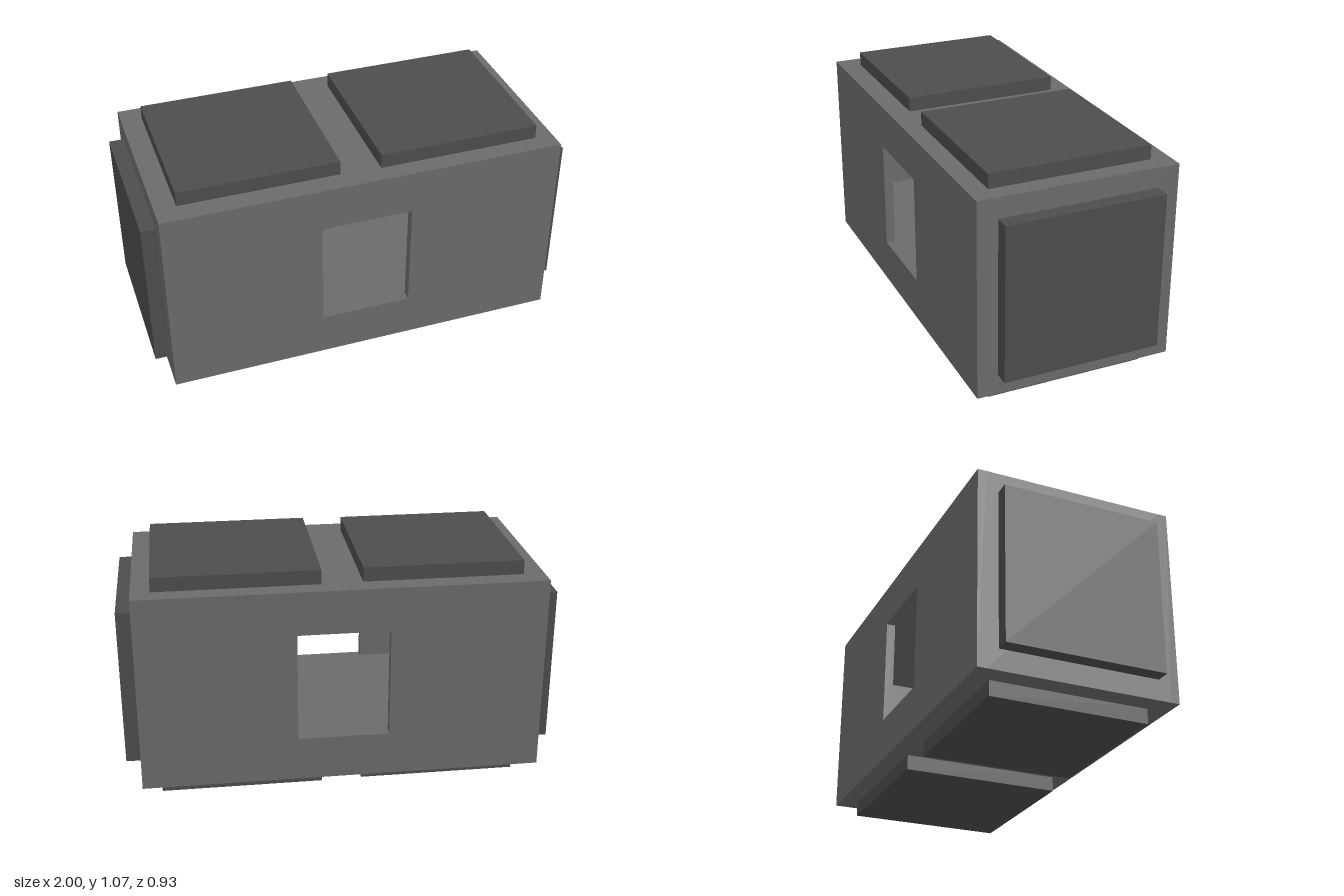
import * as THREE from 'three';

const bodyMaterial = new THREE.MeshStandardMaterial({ color: 0x6b6b6b });
const padMaterial = new THREE.MeshStandardMaterial({ color: 0x4d4d4d });

// Rectangle path from its bounds
function rect(Type, x0, x1, y0, y1) {
  const path = new Type();
  path.moveTo(x0, y0);
  path.lineTo(x1, y0);
  path.lineTo(x1, y1);
  path.lineTo(x0, y1);
  path.closePath();
  return path;
}

// Slice of the body between two depths, with a rectangular opening
function frame(name, opening, z0, z1) {
  const shape = rect(THREE.Shape, -0.933, 0.93, 0.07, 1.0);
  shape.holes.push(rect(THREE.Path, ...opening));
  const geometry = new THREE.ExtrudeGeometry(shape, { depth: z1 - z0, bevelEnabled: false });
  geometry.translate(0, 0, z0);
  const mesh = new THREE.Mesh(geometry, bodyMaterial);
  mesh.name = name;
  return mesh;
}

// Raised pad from its bounds
function pad(name, x0, x1, y0, y1, z0, z1) {
  const mesh = new THREE.Mesh(new THREE.BoxGeometry(x1 - x0, y1 - y0, z1 - z0), padMaterial);
  mesh.position.set((x0 + x1) / 2, (y0 + y1) / 2, (z0 + z1) / 2);
  mesh.name = name;
  return mesh;
}

export function createModel() {
  const model = new THREE.Group();
  model.name = 'paddedBlock';

  // Hollow body: window walls at front and back, wide cavity between them
  const body = new THREE.Group();
  body.name = 'body';
  const windowBounds = [-0.215, 0.208, 0.278, 0.795];
  const cavityBounds = [-0.89, 0.89, 0.278, 0.795];
  body.add(
    frame('frontWall', windowBounds, 0.422, 0.465),
    frame('cavityShell', cavityBounds, -0.422, 0.422),
    frame('backWall', windowBounds, -0.465, -0.422)
  );
  model.add(body);

  // Two pads above and two below
  for (const [level, y0, y1] of [['top', 0.99, 1.067], ['bottom', 0, 0.08]]) {
    model.add(
      pad(level + 'RightPad', -0.835, -0.1, y0, y1, -0.37, 0.365),
      pad(level + 'LeftPad', 0.088, 0.842, y0, y1, -0.377, 0.377)
    );
  }

  // One pad on each end
  model.add(
    pad('rightEndPad', -1, -0.925, 0.167, 0.905, -0.37, 0.37),
    pad('leftEndPad', 0.92, 1, 0.167, 0.905, -0.37, 0.37)
  );
  return model;
}
